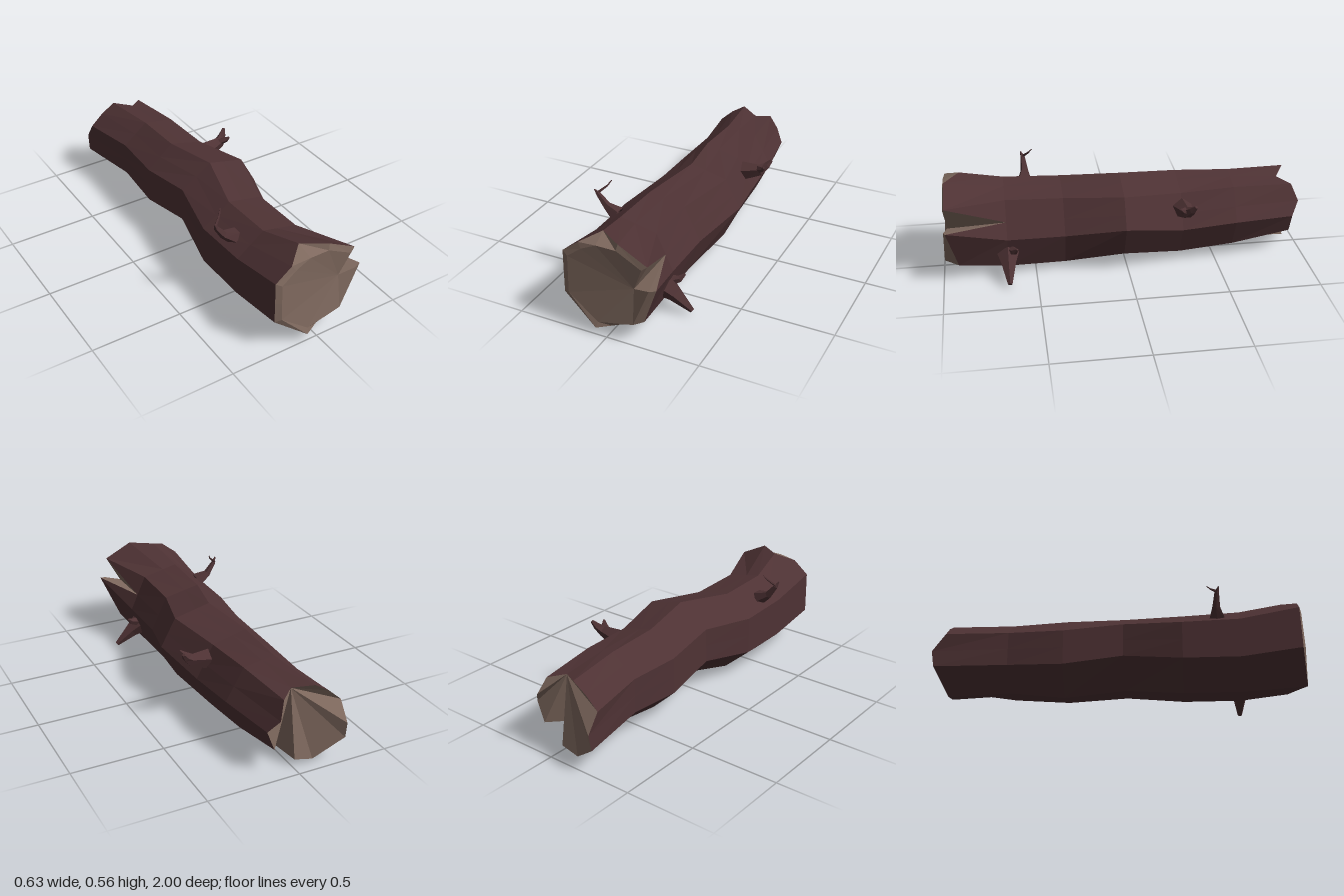
import * as THREE from 'three';

const bark = new THREE.MeshStandardMaterial({ color: 0x4e3234, flatShading: true, side: THREE.DoubleSide });
const wood = new THREE.MeshStandardMaterial({ color: 0x806a5f, flatShading: true, side: THREE.DoubleSide });

const V = (x, y, z) => new THREE.Vector3(x, y, z);
const mix = (a, b, t) => a.clone().lerp(b, t);

function meshOf(points, material, name) {
  const geometry = new THREE.BufferGeometry().setFromPoints(points);
  geometry.computeVertexNormals();
  const mesh = new THREE.Mesh(geometry, material);
  mesh.name = name;
  return mesh;
}

// Triangles joining consecutive closed rings
function loft(rings) {
  const out = [];
  for (let i = 0; i + 1 < rings.length; i++) {
    const p = rings[i], q = rings[i + 1], n = p.length;
    for (let j = 0; j < n; j++) {
      const k = (j + 1) % n;
      out.push(p[j], p[k], q[j], p[k], q[k], q[j]);
    }
  }
  return out;
}

// Triangles from one hub point to a closed ring
function fan(hub, ring, flip) {
  const out = [];
  ring.forEach((a, j) => {
    const b = ring[(j + 1) % ring.length];
    if (a !== hub && b !== hub) out.push(hub, flip ? b : a, flip ? a : b);
  });
  return out;
}

// Trunk ring from seven corners, with in-between points for the broken ends
function section(z, corners) {
  const [a, b, c, d, e, f, g] = corners.map(([x, y]) => V(x, y, z));
  return [a, mix(a, b, 0.4), b, mix(b, c, 0.55), c, d, mix(d, e, 0.33), mix(d, e, 0.66),
    e, f, mix(f, g, 0.5), g, mix(g, a, 0.5)];
}

// Tapered five-sided branch along a path of [x, y, z, radius]
function twig(name, path) {
  const pts = path.map(([x, y, z]) => V(x, y, z));
  const rings = pts.map((p, i) => {
    const t = pts[Math.min(i + 1, pts.length - 1)].clone().sub(pts[Math.max(i - 1, 0)]).normalize();
    const u = V(0, 0, 1).cross(t).normalize();
    const v = t.clone().cross(u);
    return Array.from({ length: 5 }, (_, j) => {
      const angle = j * Math.PI * 2 / 5;
      return p.clone().addScaledVector(u, Math.cos(angle) * path[i][3])
        .addScaledVector(v, Math.sin(angle) * path[i][3]);
    });
  });
  const last = rings.length - 1;
  return meshOf([...loft(rings), ...fan(pts[last], rings[last])], bark, name);
}

export function createModel() {
  const log = new THREE.Group();
  log.name = 'log';

  // Bent trunk, front to back
  const middle = [
    section(0.65, [[-0.10, 0.475], [0.10, 0.43], [0.19, 0.235], [0.13, 0.045], [-0.10, 0.002], [-0.25, 0.14], [-0.25, 0.36]]),
    section(0.34, [[-0.10, 0.462], [0.10, 0.42], [0.19, 0.235], [0.125, 0.045], [-0.10, 0.004], [-0.255, 0.14], [-0.255, 0.35]]),
    section(0.02, [[-0.015, 0.495], [0.19, 0.445], [0.275, 0.29], [0.185, 0.10], [-0.02, 0.06], [-0.195, 0.19], [-0.19, 0.38]]),
    section(-0.30, [[-0.07, 0.465], [0.12, 0.415], [0.215, 0.235], [0.13, 0.06], [-0.08, 0.004], [-0.225, 0.14], [-0.22, 0.34]]),
    section(-0.60, [[-0.07, 0.45], [0.10, 0.42], [0.20, 0.25], [0.12, 0.08], [-0.08, 0.04], [-0.21, 0.15], [-0.21, 0.34]]),
  ];

  // Front rim, split by a wedge on the upper right
  const split = middle[0][3];
  const front = [V(-0.06, 0.535, 0.885), V(0.065, 0.535, 0.965), V(0.22, 0.455, 0.97), split,
    V(0.265, 0.335, 0.97), V(0.165, 0.09, 0.915), V(0.09, 0.073, 0.94), V(0.015, 0.057, 0.97),
    V(-0.06, 0.04, 1.0), V(-0.245, 0.185, 0.97), V(-0.245, 0.30, 0.968), V(-0.245, 0.42, 0.965),
    V(-0.155, 0.49, 0.965)];

  // Back rim, split from below
  const back = [V(-0.11, 0.435, -0.93), V(-0.01, 0.415, -0.87), V(0.065, 0.40, -0.935), V(0.10, 0.31, -0.972),
    V(0.148, 0.24, -0.93), V(0.105, 0.13, -0.93), V(0.05, 0.08, -0.75), V(-0.012, 0.04, -0.93),
    V(-0.115, 0.015, -0.93), V(-0.265, 0.13, -0.985), V(-0.262, 0.22, -1.0), V(-0.262, 0.32, -0.93),
    V(-0.19, 0.385, -0.93)];
  log.add(meshOf(loft([front, ...middle, back]), bark, 'trunk'));

  // Cut faces: the front one has a chamfered border around its face
  const notch = V(0.14, 0.305, 0.96);
  const inset = front.map((p) => {
    if (p === split) return notch;
    const q = mix(p, V(0, 0.28, 0), 0.13);
    q.z = 0.993 - 0.04 * q.y;
    return q;
  });
  log.add(meshOf([...loft([inset, front]), ...fan(notch, inset, true)], wood, 'frontCut'));
  log.add(meshOf(fan(back[1], back, false), wood, 'backCut'));

  // Forked twig on the upper side
  const leftTwig = new THREE.Group();
  leftTwig.name = 'leftTwig';
  leftTwig.add(
    twig('stem', [[-0.19, 0.40, 0.53, 0.045], [-0.255, 0.435, 0.525, 0.022], [-0.30, 0.495, 0.53, 0.013], [-0.315, 0.525, 0.54, 0.003]]),
    twig('sprig', [[-0.305, 0.50, 0.53, 0.008], [-0.262, 0.538, 0.50, 0.005], [-0.245, 0.565, 0.48, 0.002]]));
  log.add(leftTwig);

  // Stubby forked twig on the other side
  const rightTwig = new THREE.Group();
  rightTwig.name = 'rightTwig';
  rightTwig.add(
    twig('stem', [[0.16, 0.345, -0.30, 0.055], [0.26, 0.365, -0.31, 0.032], [0.29, 0.392, -0.33, 0.02], [0.31, 0.42, -0.345, 0.009]]),
    twig('sprig', [[0.25, 0.37, -0.30, 0.022], [0.285, 0.39, -0.275, 0.014], [0.295, 0.405, -0.265, 0.005]]));
  log.add(rightTwig);

  // Broken spike near the bottom, with a small stub beside it
  const spike = new THREE.Group();
  spike.name = 'lowerSpike';
  spike.add(
    twig('stem', [[0.145, 0.135, 0.65, 0.065], [0.20, 0.10, 0.65, 0.042], [0.296, 0.026, 0.65, 0.013]]),
    twig('stub', [[0.16, 0.16, 0.63, 0.03], [0.21, 0.175, 0.615, 0.018], [0.232, 0.198, 0.60, 0.006]]));
  log.add(spike);

  return log;
}
